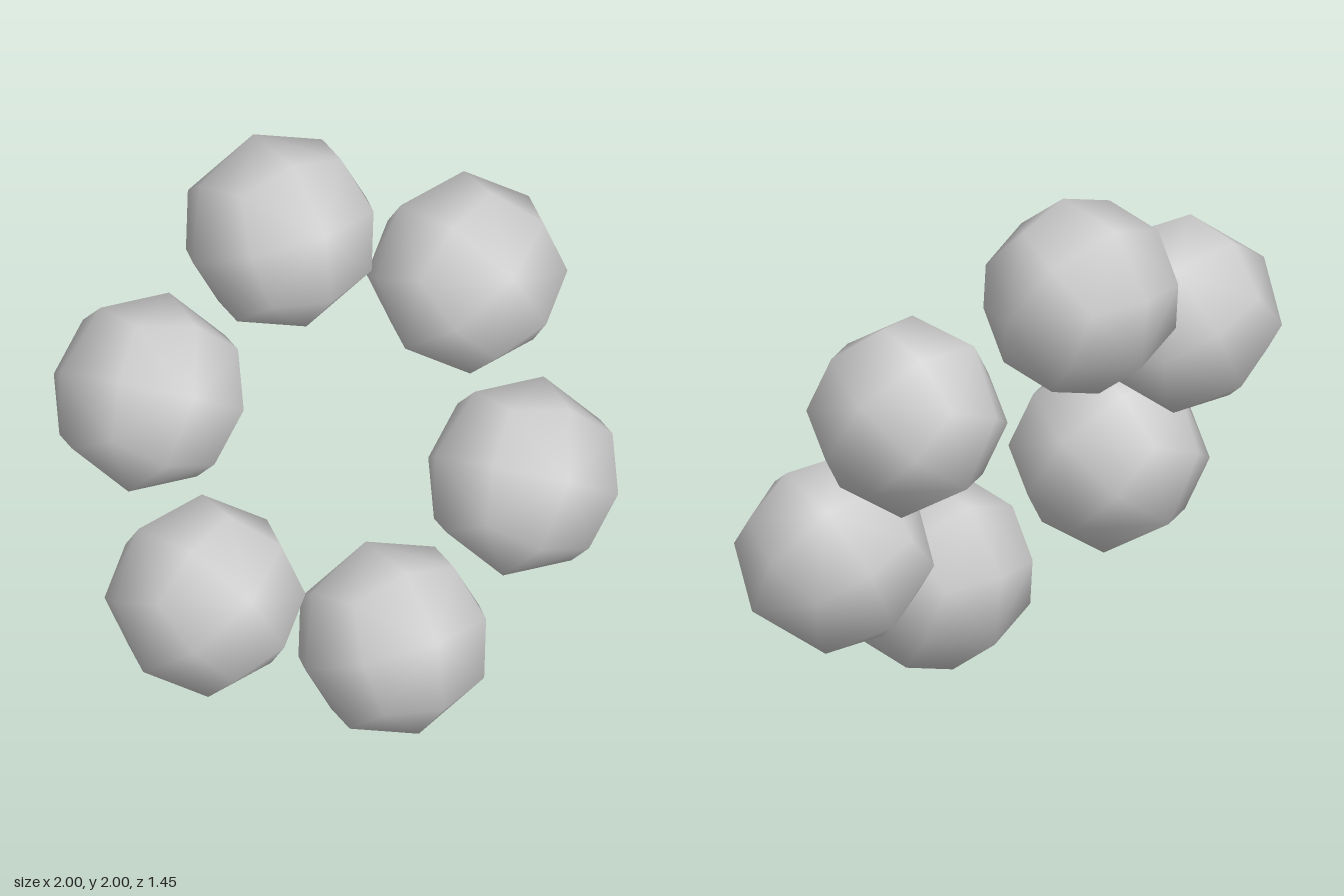
import * as THREE from 'three';

const RADIUS = 0.357; // ball radius
const RING = 0.7565;  // distance of each ball from the ring centre

// Cube-sphere: each octant holds six triangles joining an axis point,
// an edge point and a corner point, all lying on the sphere.
function createBallGeometry(radius) {
  const positions = [], normals = [];
  const orders = [[0, 1, 2], [1, 2, 0], [2, 0, 1], [0, 2, 1], [2, 1, 0], [1, 0, 2]];
  for (let octant = 0; octant < 8; octant++) {
    const sign = [0, 1, 2].map((i) => ((octant >> i) & 1 ? -1 : 1));
    orders.forEach((order, index) => {
      const corners = [1, 2, 3].map((count) => {
        const p = [0, 0, 0];
        for (let i = 0; i < count; i++) p[order[i]] = sign[order[i]];
        return new THREE.Vector3(...p).normalize();
      });
      // Mirrored octants and odd axis orders reverse the winding
      const outward = sign[0] * sign[1] * sign[2] * (index < 3 ? 1 : -1) > 0;
      if (!outward) corners.reverse();
      for (const c of corners) {
        normals.push(c.x, c.y, c.z);
        positions.push(c.x * radius, c.y * radius, c.z * radius);
      }
    });
  }
  const geometry = new THREE.BufferGeometry();
  geometry.setAttribute('position', new THREE.Float32BufferAttribute(positions, 3));
  geometry.setAttribute('normal', new THREE.Float32BufferAttribute(normals, 3));
  return geometry;
}

export function createModel() {
  const model = new THREE.Group();
  model.name = 'ballRing';

  const grey = new THREE.MeshStandardMaterial({ color: 0xcccccc });
  grey.name = 'grey';
  const ballGeometry = createBallGeometry(RADIUS);

  // Ring leaning back by 30 degrees
  const ring = new THREE.Group();
  ring.name = 'tiltedRing';
  ring.position.y = 1;
  ring.rotation.x = -Math.PI / 6;
  model.add(ring);

  // Six balls, each turned with its place on the ring
  for (let i = 0; i < 6; i++) {
    const angle = (i * Math.PI) / 3;
    const ball = new THREE.Mesh(ballGeometry, grey);
    ball.name = `ball${i + 1}`;
    ball.position.set(-Math.sin(angle) * RING, Math.cos(angle) * RING, 0);
    ball.rotation.z = angle;
    ring.add(ball);
  }
  return model;
}
